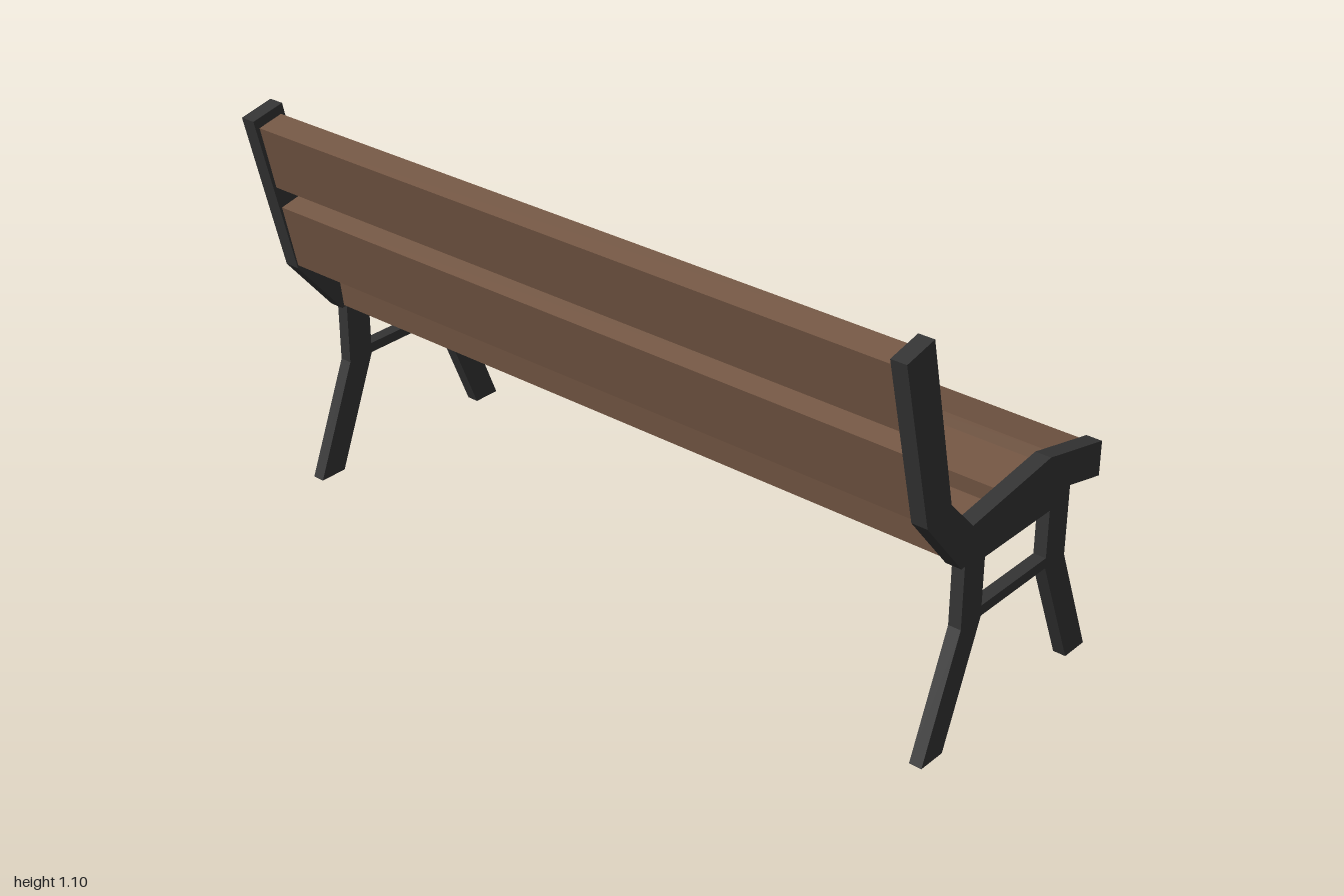
import * as THREE from 'three';

const wood = new THREE.MeshStandardMaterial({ color: 0x735643 });
wood.name = 'brown wood';
const iron = new THREE.MeshStandardMaterial({ color: 0x343434 });
iron.name = 'dark iron';

// Flat plate in the xy plane, centred on z = 0
function plate(name, points, depth, hole) {
  const toVectors = (list) => list.map(([x, y]) => new THREE.Vector2(x, y));
  const shape = new THREE.Shape(toVectors(points));
  if (hole) shape.holes.push(new THREE.Path(toVectors(hole)));
  const geometry = new THREE.ExtrudeGeometry(shape, { depth, bevelEnabled: false });
  geometry.translate(0, 0, -depth / 2);
  const mesh = new THREE.Mesh(geometry, iron);
  mesh.name = name;
  return mesh;
}

// Plank whose outer face runs from (x1, y1) to (x2, y2), with its thickness to the right of that line
function slat(name, [x1, y1], [x2, y2], thickness = 0.073) {
  const length = Math.hypot(x2 - x1, y2 - y1);
  const mesh = new THREE.Mesh(new THREE.BoxGeometry(length, thickness, 1.92), wood);
  const angle = Math.atan2(y2 - y1, x2 - x1);
  mesh.rotation.z = angle;
  mesh.position.set(
    (x1 + x2) / 2 + Math.sin(angle) * thickness / 2,
    (y1 + y2) / 2 - Math.cos(angle) * thickness / 2,
    0
  );
  mesh.name = name;
  return mesh;
}

export function createModel() {
  const bench = new THREE.Group();
  bench.name = 'bench';

  // Bent rail carrying the seat and the backrest
  const railOutline = [
    [-0.405, 1.077], [-0.31, 1.098], [-0.212, 0.665], [-0.122, 0.572], [0.18, 0.611],
    [0.4, 0.56], [0.4, 0.468], [0.18, 0.521], [-0.157, 0.477], [-0.298, 0.643],
  ];
  // Splayed legs with a cross bar, cut as one frame
  const legOutline = [
    [-0.138, 0.4795], [-0.138, 0.308], [-0.262, 0], [-0.183, 0], [-0.06, 0.308],
    [0.2, 0.308], [0.327, 0], [0.405, 0], [0.28, 0.308], [0.28, 0.497], [0.18, 0.521],
  ];
  const legHole = [[-0.06, 0.335], [-0.06, 0.462], [0.2, 0.462], [0.2, 0.335]];

  for (const side of [-1, 1]) {
    const end = new THREE.Group();
    end.name = side > 0 ? 'nearEndFrame' : 'farEndFrame';
    end.add(plate('rail', railOutline, 0.042), plate('legFrame', legOutline, 0.034, legHole));
    end.position.z = side * 0.979;
    bench.add(end);
  }

  // Seat slats follow the rise and fall of the rail
  bench.add(
    slat('rearSeatSlat', [-0.16, 0.556], [-0.019, 0.574]),
    slat('middleSeatSlat', [0.03, 0.58], [0.168, 0.598]),
    slat('frontSeatSlat', [0.237, 0.588], [0.39, 0.553])
  );

  // Backrest slats lean with the upright
  bench.add(
    slat('upperBackSlat', [-0.316, 1.071], [-0.277, 0.9]),
    slat('lowerBackSlat', [-0.264, 0.841], [-0.225, 0.667])
  );
  // The outer face points forward, so turn the thickness to the rear
  return bench;
}
